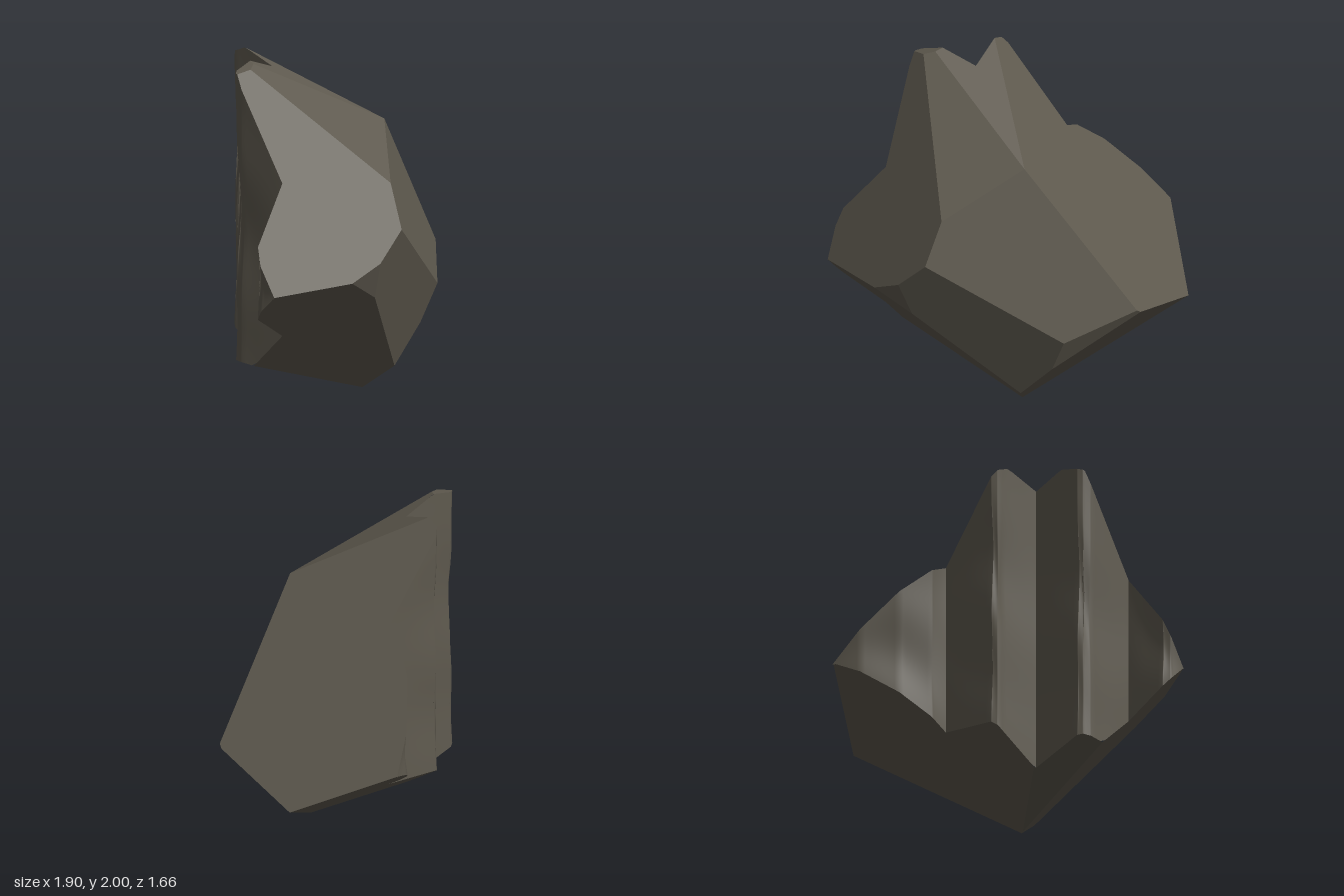
import * as THREE from 'three';

const V = (x, y, z) => new THREE.Vector3(x, y, z);
const stone = new THREE.MeshStandardMaterial({ color: 0x5f5a4f });
stone.name = 'stone';

// Main corners of the broken boulder
const peak = V(0.27, 1.57, 0.39), brow = V(-0.10, 1.28, 0.71), nose = V(-0.15, 1.03, 0.82);
const rightEnd = V(0.93, 0.76, 0.27), rightLow = V(0.94, 0.72, 0.24), cheek = V(0.60, 0.58, 0.53);
const chin = V(0.27, 0.14, 0.46), jaw = V(0.50, 0.36, 0.48), foot = V(0.18, 0.005, 0.28);
const summit = V(-0.25, 2.0, -0.23), crest = V(-0.49, 1.97, 0), leftTop = V(-0.57, 1.95, 0.04);
const leftEnd = V(-0.95, 0.71, 0.5), lip = V(-0.52, 0.76, 0.74), lipTop = V(-0.32, 0.87, 0.81);
const lipLow = V(-0.28, 0.65, 0.73), heel = V(0.93, 0.54, -0.32), tip = V(0.57, 0.85, -0.83);
const centre = V(0.1, 0.9, 0.2);

// Each cleaved face is a plane through three corners, facing away from the centre
const facets = {
  rightSlope: [peak, rightEnd, summit],
  frontRight: [peak, nose, rightEnd],
  topRidge: [peak, summit, crest],
  topFront: [peak, brow, leftTop],
  leftSlope: [leftTop, brow, leftEnd],
  lowerFront: [nose, cheek, chin],
  lipBevel: [lip, lipTop, lipLow],
  cheekBevel: [cheek, jaw, rightLow],
  lowerRight: [jaw, heel, V(0.22, 0.01, 0.26)],
  undersideBack: [V(0.2, 0.005, 0.28), heel, tip],
  undersideLeft: [lip, chin, foot],
  undersideStep: [foot, V(-0.63, 0.23, 0.126), V(-0.26, 0.16, -0.02)],
  leftCap: [V(-0.62, 1.93, 0), V(-0.49, 1.97, -0.02), V(-0.52, 1.955, 0.05)],
};
const planes = Object.entries(facets).map(([name, pts]) => {
  const plane = new THREE.Plane().setFromCoplanarPoints(...pts);
  if (plane.distanceToPoint(centre) > 0) plane.negate();
  return { name, plane };
});

// Plan outlines [x, z] of the stepped back, one column of rock each
const columns = [
  [[0.58, -0.84], [0.43, -0.76], [0.27, -0.6], [0.18, -0.43], [0.17, -0.33]],
  [[0.17, -0.33], [-0.21, -0.325], [-0.24, -0.3], [-0.26, -0.02]],
  [[-0.26, -0.02], [-0.61, -0.02], [-0.64, 0.0], [-0.655, 0.05], [-0.655, 0.34]],
  [[-0.655, 0.34], [-0.92, 0.36], [-0.95, 0.4], [-0.95, 0.5]],
];

// Keep the part of a polygon that lies behind a plane
function clip(poly, plane) {
  const out = [];
  poly.forEach((a, i) => {
    const b = poly[(i + 1) % poly.length];
    const da = plane.distanceToPoint(a), db = plane.distanceToPoint(b);
    if (da <= 0) out.push(a);
    if ((da < 0 && db > 0) || (da > 0 && db < 0)) out.push(a.clone().lerp(b, da / (da - db)));
  });
  return out;
}

// Vertical planes that bound one column in plan
function columnPlanes(path, index) {
  const list = [];
  for (let i = 0; i + 1 < path.length; i++) {
    const [x, z] = path[i], [x2, z2] = path[i + 1];
    const n = V(z - z2, 0, x2 - x).normalize();
    list.push(new THREE.Plane().setFromNormalAndCoplanarPoint(n, V(x, 0, z)));
  }
  if (index > 0) list.push(new THREE.Plane(V(1, 0, 0), -path[0][0]));
  if (index < columns.length - 1) list.push(new THREE.Plane(V(-1, 0, 0), path[path.length - 1][0]));
  return list;
}

// Flat cleaved face, trimmed by its neighbours and by the columns
function facetGeometry(plane) {
  const n = plane.normal;
  const u = V(0.3, 0.5, 0.8).cross(n).normalize(), v = n.clone().cross(u);
  const o = plane.projectPoint(centre, V());
  let face = [[-4, -4], [4, -4], [4, 4], [-4, 4]].map(([a, b]) =>
    o.clone().addScaledVector(u, a).addScaledVector(v, b));
  for (const other of planes) if (other.plane !== plane) face = clip(face, other.plane);
  const pos = [];
  columns.forEach((path, index) => {
    const piece = columnPlanes(path, index).reduce(clip, face);
    for (let i = 1; i + 1 < piece.length; i++)
      for (const p of [piece[0], piece[i], piece[i + 1]]) pos.push(p.x, p.y, p.z);
  });
  const g = new THREE.BufferGeometry();
  g.setAttribute('position', new THREE.Float32BufferAttribute(pos, 3));
  g.computeVertexNormals();
  return g;
}

// Lowest and highest rock above a plan position
function span(x, z) {
  let low = -9, high = 9;
  for (const { plane: { normal: n, constant } } of planes) {
    const y = -(constant + n.x * x + n.z * z) / n.y;
    if (n.y > 0) high = Math.min(high, y); else low = Math.max(low, y);
  }
  return [Math.min(low, high), high];
}

// Smooth, slightly scooped broken wall along a column outline
function wallGeometry(path, index) {
  const steps = 8, rows = 24, pts = [];
  for (let i = 0; i + 1 < path.length; i++)
    for (let k = i ? 1 : 0; k <= steps; k++) {
      const [x, z] = path[i], [x2, z2] = path[i + 1], t = k / steps;
      const d = V(z2 - z, 0, x - x2).normalize();
      pts.push([x + (x2 - x) * t, z + (z2 - z) * t, d]);
    }
  const pos = [], idx = [];
  pts.forEach(([x, z, inward], i) => {
    const [low, high] = span(x, z), t = i / (pts.length - 1);
    for (let j = 0; j <= rows; j++) {
      const s = j / rows, y = low + (high - low) * s;
      const wave = 0.6 + 0.4 * Math.sin(y * 7 + index * 2 + t * 4);
      const depth = 0.03 * Math.min(1, (high - low) * 1.5) * Math.sin(Math.PI * s) * Math.sin(Math.PI * t) * wave;
      pos.push(x + inward.x * depth, y, z + inward.z * depth);
      if (i && j) {
        const b = i * (rows + 1) + j - 1, a = b - rows - 1;
        idx.push(a, b, a + 1, b, b + 1, a + 1);
      }
    }
  });
  const g = new THREE.BufferGeometry();
  g.setAttribute('position', new THREE.Float32BufferAttribute(pos, 3));
  g.setIndex(idx);
  g.computeVertexNormals();
  return g;
}

export function createModel() {
  const group = new THREE.Group();
  group.name = 'brokenBoulder';
  const add = (name, geometry) => {
    const mesh = new THREE.Mesh(geometry, stone);
    mesh.name = name;
    group.add(mesh);
  };
  for (const { name, plane } of planes) add(name, facetGeometry(plane));
  columns.forEach((path, i) => add('brokenWall' + (i + 1), wallGeometry(path, i)));
  // Rest the lowest corner on the ground
  group.position.y = -new THREE.Box3().setFromObject(group).min.y;
  return group;
}
